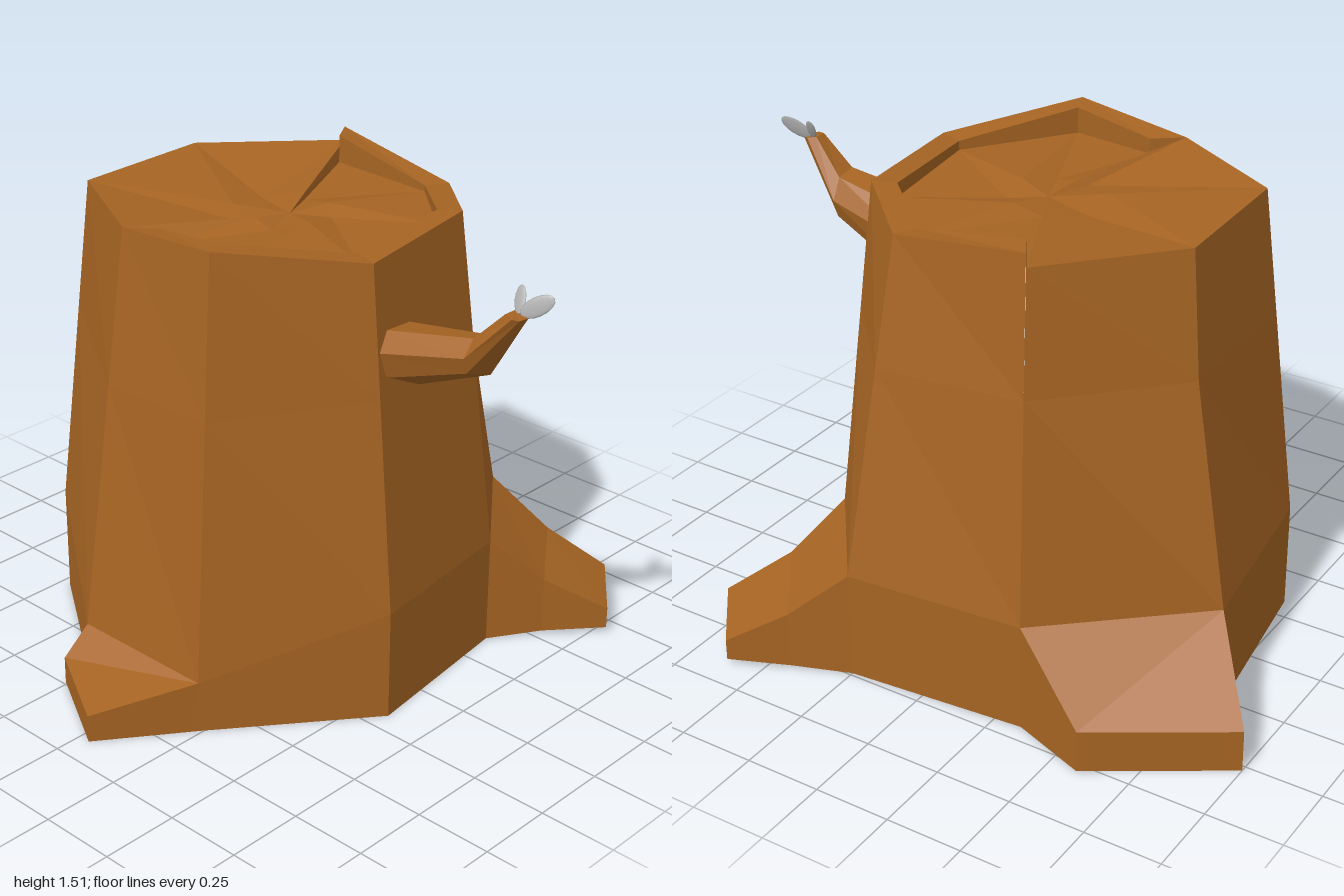
import * as THREE from 'three';

const wood = new THREE.MeshStandardMaterial({ color: 0xa66423, flatShading: true });
wood.name = 'wood';
const grey = new THREE.MeshStandardMaterial({ color: 0xb0b0b0, side: THREE.DoubleSide });
grey.name = 'leafGrey';

// Flat-shaded mesh from polygons, each a list of [x, y, z] corners
function facetMesh(name, polygons) {
  const pos = [];
  for (const p of polygons)
    for (let i = 1; i < p.length - 1; i++) pos.push(...p[0], ...p[i], ...p[i + 1]);
  const g = new THREE.BufferGeometry();
  g.setAttribute('position', new THREE.Float32BufferAttribute(pos, 3));
  g.computeVertexNormals();
  const m = new THREE.Mesh(g, wood);
  m.name = name;
  return m;
}

// Skin a run of cross-sections and close the far end
function loft(name, sections) {
  const polys = [];
  for (let s = 0; s < sections.length - 1; s++) {
    const a = sections[s], b = sections[s + 1];
    a.forEach((p, k) => {
      const n = (k + 1) % a.length;
      polys.push([p, a[n], b[n], b[k]]);
    });
  }
  polys.push(sections[sections.length - 1]);
  return facetMesh(name, polys);
}

const lerp = (a, b, t) => a.map((v, i) => v + (b[i] - v) * t);
const atY = (p, y) => [p[0], y, p[2]];

// Trunk rings, clockwise from the back right corner as seen from above
const shoulder = [
  [-0.33, 0.36, -0.71], [0.29, 0.36, -0.80], [0.69, 0.36, -0.34], [0.74, 0.36, 0.25],
  [0.38, 0.36, 0.53], [-0.18, 0.36, 0.60], [-0.64, 0.17, 0.24], [-0.64, 0.17, -0.26],
];
const top = [
  [-0.27, 1.465, -0.60], [0.21, 1.465, -0.62], [0.57, 1.51, -0.29], [0.54, 1.44, 0.18],
  [0.315, 1.47, 0.42], [-0.15, 1.45, 0.48], [-0.515, 1.51, 0.19], [-0.48, 1.47, -0.21],
];
// Inner edge of the raised rim, corners 2 to 7
const inner = [
  null, null, [0.49, 1.51, -0.24], [0.47, 1.44, 0.14],
  [0.28, 1.465, 0.35], [-0.12, 1.45, 0.40], [-0.44, 1.505, 0.16], [-0.41, 1.47, -0.12],
];
const FLOOR = 1.42;
const brokenCorner = atY(top[2], 1.465); // rim is broken off at the back

function trunk() {
  const base = shoulder.map((p) => atY(p, 0));
  const mid = shoulder.map((p, i) => lerp(p, top[i], 0.62));
  mid[1] = [0.245, 1.07, -0.665];
  const polys = [base];
  for (let i = 0; i < 8; i++) {
    const j = (i + 1) % 8;
    polys.push([base[i], shoulder[i], shoulder[j], base[j]]);
    polys.push([shoulder[i], mid[i], mid[j], shoulder[j]]);
    polys.push([mid[i], top[i], i === 1 ? brokenCorner : top[j], mid[j]]);
  }
  return facetMesh('trunk', polys);
}

function rim() {
  const polys = [];
  const low = inner.map((p) => p && atY(p, FLOOR));
  for (let i = 2; i < 7; i++) {
    const j = i + 1;
    polys.push([top[i], inner[i], inner[j], top[j]]);
    polys.push([low[j], inner[j], inner[i], low[i]]);
  }
  // Broken ends
  polys.push([top[2], brokenCorner, low[2], inner[2]]);
  polys.push([top[7], inner[7], low[7]]);
  return facetMesh('rim', polys);
}

// Cut surface with a shallow uneven hollow in the middle
function cutSurface() {
  const edge = [top[0], top[1], brokenCorner,
    ...inner.slice(2).map((p) => atY(p, FLOOR)), top[7]];
  const centre = [0.04, 1.42, -0.03];
  const ring = edge.map((p, i) => atY(lerp(centre, p, 0.28), i % 2 ? 1.415 : 1.435));
  const polys = [];
  edge.forEach((p, i) => {
    const j = (i + 1) % edge.length;
    polys.push([ring[i], ring[j], edge[j], p]);
    polys.push([centre, ring[j], ring[i]]);
  });
  return facetMesh('cutSurface', polys);
}

// Root growing from trunk side i; steps hold [right corner, left corner, underside y]
function root(name, i, steps) {
  const start = [shoulder[i], shoulder[i + 1], 0];
  return loft(name, [start, ...steps].map(([r, l, y]) => [r, l, atY(l, y), atY(r, y)]));
}

function branch() {
  const at = (z, pts) => pts.map(([x, y, dz = 0]) => [x, y, z + dz]);
  return loft('branch', [
    at(0.46, [[0.01, 1.22], [-0.11, 1.23], [-0.155, 1.17], [-0.13, 1.08], [0.04, 1.00], [0.065, 1.14]]),
    at(0.79, [[-0.005, 1.28], [-0.075, 1.29], [-0.115, 1.24], [-0.10, 1.19], [0.01, 1.15], [0.03, 1.21]]),
    at(0.92, [[-0.025, 1.39, -0.03], [-0.065, 1.39, -0.03], [-0.075, 1.385], [-0.06, 1.38, 0.015],
      [-0.025, 1.38, 0.02], [-0.015, 1.385]]),
  ]);
}

// Thin oval leaf stretched between two points
function leaf(name, from, to, width) {
  const a = new THREE.Vector3(...from), b = new THREE.Vector3(...to);
  const m = new THREE.Mesh(new THREE.SphereGeometry(0.5, 12, 8), grey);
  m.name = name;
  const dir = b.clone().sub(a);
  m.scale.set(0.009, dir.length(), width);
  m.position.copy(a).add(b).multiplyScalar(0.5);
  const y = dir.normalize();
  const z = new THREE.Vector3(1, 0, 0).cross(y).normalize();
  const x = y.clone().cross(z);
  m.quaternion.setFromRotationMatrix(new THREE.Matrix4().makeBasis(x, y, z));
  return m;
}

export function createModel() {
  const model = new THREE.Group();
  model.name = 'treeStump';
  model.add(
    trunk(), rim(), cutSurface(),
    root('frontLeftRoot', 3, [
      [[0.82, 0.20, 0.43], [0.53, 0.20, 0.64], 0.01],
      [[0.91, 0.09, 0.61], [0.68, 0.09, 0.79], 0.02],
    ]),
    root('backRoot', 1, [[[0.52, 0.14, -1.0], [0.78, 0.14, -0.59], 0]]),
    root('rightRoot', 6, [[[-0.91, 0.09, 0.04], [-0.74, 0.09, -0.26], 0]]),
    branch(),
    leaf('frontLeaf', [-0.03, 1.385, 0.915], [0.01, 1.445, 1.0], 0.055),
    leaf('backLeaf', [-0.03, 1.385, 0.91], [0.01, 1.455, 0.885], 0.042),
  );
  return model;
}
